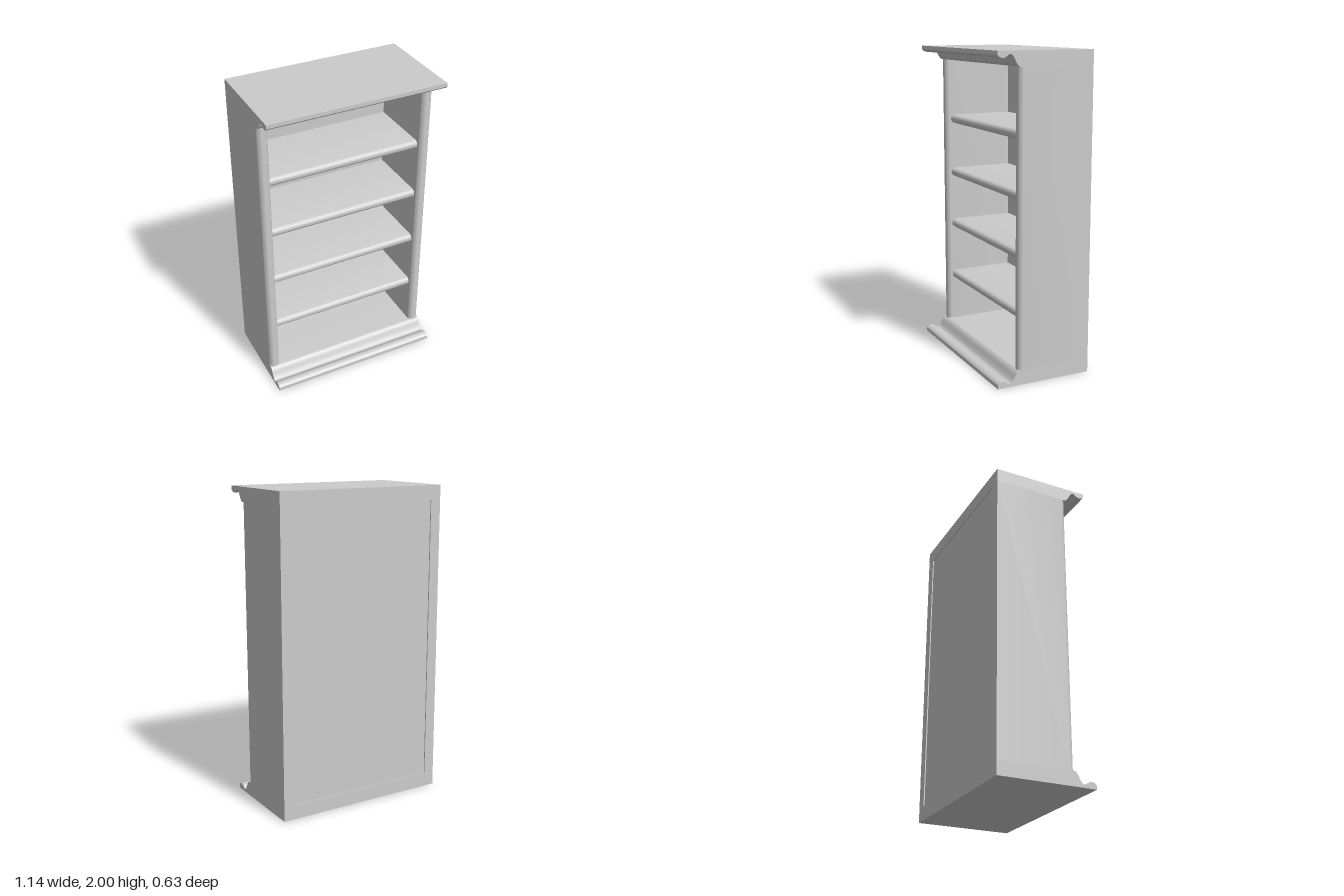
import * as THREE from 'three';
import { toCreasedNormals } from 'three/addons/utils/BufferGeometryUtils.js';

const HALF_W = 0.57, INNER_W = 0.5, BACK = -0.313, FRONT = 0.314;
const SLAB = 0.092; // height of base and crown
const material = new THREE.MeshStandardMaterial({ color: 0xcccccc });

// Extrudes a shape symmetrically about its plane, smooth on curves and sharp on corners
function extrude(shape, depth) {
  const g = new THREE.ExtrudeGeometry(shape, { depth, bevelEnabled: false, curveSegments: 12 });
  g.translate(0, 0, -depth / 2);
  return toCreasedNormals(g, 0.6);
}

// Board outline with a rounded nose: u runs from back to front, v across the thickness
function noseOutline(back, front, thickness, noseDepth) {
  const pts = [new THREE.Vector2(back, -thickness / 2)];
  for (let i = 0; i <= 16; i++) {
    const a = -Math.PI / 2 + (Math.PI * i) / 16;
    pts.push(new THREE.Vector2(front - noseDepth + noseDepth * Math.cos(a), (thickness / 2) * Math.sin(a)));
  }
  pts.push(new THREE.Vector2(back, thickness / 2));
  return pts;
}

// Moulded slab profile (z, y); flip mirrors it for the crown
function slabShape(flip) {
  const at = (z, y) => new THREE.Vector2(z, flip ? 2 - y : y);
  const moulding = new THREE.SplineCurve([
    at(FRONT, 0.024), at(0.301, 0.036), at(0.279, 0.041), at(0.26, 0.034),
    at(0.241, 0.02), at(0.224, 0.023), at(0.208, 0.043), at(0.193, 0.072),
    at(0.176, 0.089), at(0.155, SLAB),
  ]).getPoints(36);
  return new THREE.Shape([at(BACK, 0), at(FRONT, 0), ...moulding, at(BACK, SLAB)]);
}

export function createModel() {
  const group = new THREE.Group();
  const add = (name, geometry, x = 0, y = 0, z = 0) => {
    const mesh = new THREE.Mesh(geometry, material);
    mesh.name = name;
    mesh.position.set(x, y, z);
    group.add(mesh);
  };

  // Base and crown, each with the moulding along the front
  add('base', extrude(slabShape(false), HALF_W * 2).rotateY(-Math.PI / 2));
  add('crown', extrude(slabShape(true), HALF_W * 2).rotateY(-Math.PI / 2));

  // Side panels with rounded front edges
  const thickness = HALF_W - INNER_W;
  const sideShape = new THREE.Shape(
    noseOutline(BACK, 0.175, thickness, 0.033).map((p) => new THREE.Vector2(-p.y, p.x)));
  for (const [name, s] of [['leftSide', 1], ['rightSide', -1]]) {
    const geometry = extrude(sideShape, 2 - SLAB * 2 + 0.004).rotateX(Math.PI / 2);
    add(name, geometry, s * (HALF_W - thickness / 2), 1, 0);
  }

  // Thin back panel, slightly recessed
  add('backPanel', new THREE.BoxGeometry(INNER_W * 2, 2 - SLAB * 2, 0.012), 0, 1, -0.3);

  // Shelves with rounded noses
  const shelfShape = new THREE.Shape(noseOutline(-0.294, 0.14, 0.057, 0.028));
  const shelfGeometry = extrude(shelfShape, INNER_W * 2).rotateY(-Math.PI / 2);
  [0.415, 0.785, 1.145, 1.51].forEach((y, i) => add(`shelf${i + 1}`, shelfGeometry, 0, y, 0));

  return group;
}
